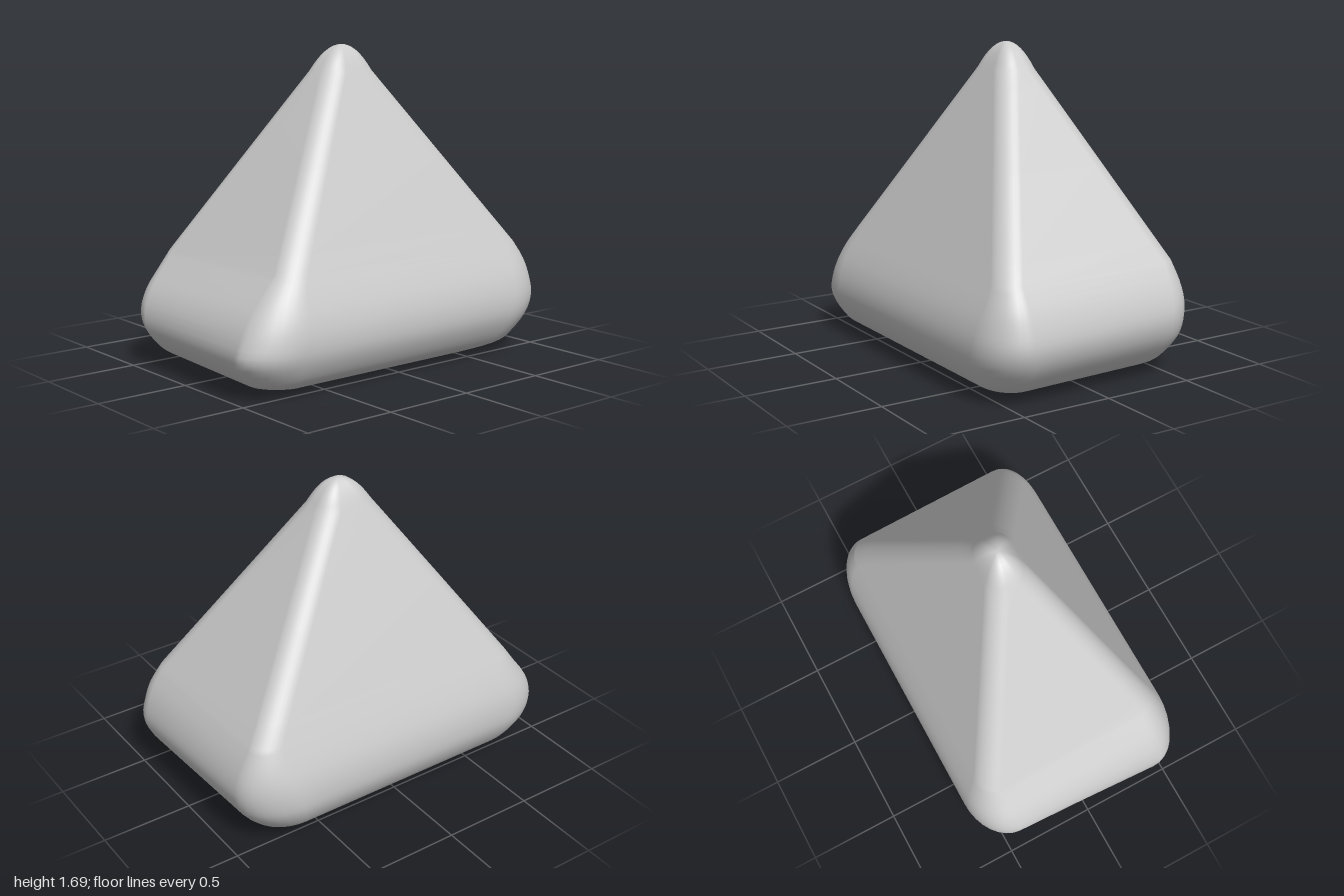
import * as THREE from 'three';

const CORNER_STEPS = 8;
const { lerp } = THREE.MathUtils;

// Cross-sections of the bulging foot:
// y, front -x side, front +x side, back -x side, back +x side, front z, back z, corner radius x, corner radius z
const FOOT = [
  [0, -0.70, 0.65, -0.68, 0.63, 0.40, -0.40, 0.10, 0.10],
  [0.05, -0.87, 0.82, -0.80, 0.77, 0.515, -0.515, 0.18, 0.14],
  [0.1, -0.94, 0.89, -0.87, 0.84, 0.57, -0.57, 0.24, 0.17],
  [0.2, -1.005, 0.97, -0.94, 0.92, 0.62, -0.62, 0.28, 0.2],
  [0.3, -0.975, 1.005, -0.96, 0.955, 0.63, -0.63, 0.28, 0.2],
  [0.4, -0.92, 0.985, -0.925, 0.955, 0.612, -0.617, 0.24, 0.18],
  [0.5, -0.845, 0.945, -0.85, 0.92, 0.575, -0.585, 0.18, 0.14],
  [0.6, -0.755, 0.88, -0.78, 0.87, 0.53, -0.545, 0.13, 0.1],
];
// Section where the straight flanks meet the tip, and the point they close on
const SHOULDER = [1.55, -0.125, 0.2, -0.14, 0.2, 0.10, -0.135, 0.1, 0.09];
const TIP = [1.69, 0.04, 0.04, 0.04, 0.04, -0.02, -0.02, 0, 0];

const blend = (a, b, t) => a.map((value, k) => lerp(value, b[k], t));

// Smooth in-between section of the foot (Catmull-Rom)
function footSection(s) {
  const i = Math.min(Math.floor(s), FOOT.length - 2);
  const t = s - i;
  const p1 = FOOT[i];
  const p2 = FOOT[i + 1];
  const p0 = FOOT[i - 1] ?? p1;
  const p3 = FOOT[i + 2] ?? p2;
  return p1.map((v, k) => v + 0.5 * t * (p2[k] - p0[k]
    + t * (2 * p0[k] - 5 * v + 4 * p2[k] - p3[k] + t * (3 * (v - p2[k]) + p3[k] - p0[k]))));
}

// Curved foot, straight flanks, then a parabolic tip
function allSections() {
  const sections = [];
  const last = FOOT.length - 1;
  for (let i = 0; i <= last * 3; i++) sections.push(footSection(i / 3));
  for (const t of [0.1, 0.5, 0.9]) sections.push(blend(FOOT[last], SHOULDER, t));
  for (let i = 0; i <= 8; i++) {
    const section = blend(SHOULDER, TIP, i / 8);
    section[0] = lerp(TIP[0], SHOULDER[0], (1 - i / 8) ** 2);
    sections.push(section);
  }
  return sections;
}

// Closed loop of a rounded quadrilateral
function ringPoints([y, fl, fr, bl, br, zf, zb, rx, rz]) {
  const ru = Math.min(1, rx / Math.max((fr - fl) / 2, 1e-4));
  const rv = Math.min(1, rz / Math.max((zf - zb) / 2, 1e-4));
  const points = [];
  [[1, 1], [-1, 1], [-1, -1], [1, -1]].forEach(([su, sv], corner) => {
    for (let i = 0; i <= CORNER_STEPS; i++) {
      const a = (corner + i / CORNER_STEPS) * Math.PI / 2;
      const u = (su * (1 - ru) + ru * Math.cos(a) + 1) / 2;
      const v = (sv * (1 - rv) + rv * Math.sin(a) + 1) / 2;
      points.push([lerp(lerp(bl, fl, v), lerp(br, fr, v), u), y, lerp(zb, zf, v)]);
    }
  });
  return points;
}

function makeMesh(points, index, material, name) {
  const geometry = new THREE.BufferGeometry();
  geometry.setAttribute('position', new THREE.Float32BufferAttribute(points.flat(), 3));
  geometry.setIndex(index);
  geometry.computeVertexNormals();
  const mesh = new THREE.Mesh(geometry, material);
  mesh.name = name;
  return mesh;
}

export function createModel() {
  const group = new THREE.Group();
  group.name = 'roundedPyramid';
  const material = new THREE.MeshStandardMaterial({ color: 0xcccccc });
  const rings = allSections().map(ringPoints);
  const n = rings[0].length;

  // Soft-edged pyramid skin, lofted through the sections
  const index = [];
  for (let r = 0; r < rings.length - 1; r++) {
    for (let i = 0; i < n; i++) {
      const a = r * n + i;
      const b = r * n + (i + 1) % n;
      index.push(a, a + n, b);
      if (r < rings.length - 2) index.push(b, a + n, b + n);
    }
  }
  const body = makeMesh(rings.flat(), index, material, 'pyramidBody');

  // The tip shares one upward normal
  const normals = body.geometry.attributes.normal;
  for (let i = 0; i < n; i++) normals.setXYZ((rings.length - 1) * n + i, 0, 1, 0);
  group.add(body);

  // Flat underside
  const baseIndex = [];
  for (let i = 0; i < n; i++) baseIndex.push(n, i, (i + 1) % n);
  group.add(makeMesh([...rings[0], [0, 0, 0]], baseIndex, material, 'flatBase'));
  return group;
}
